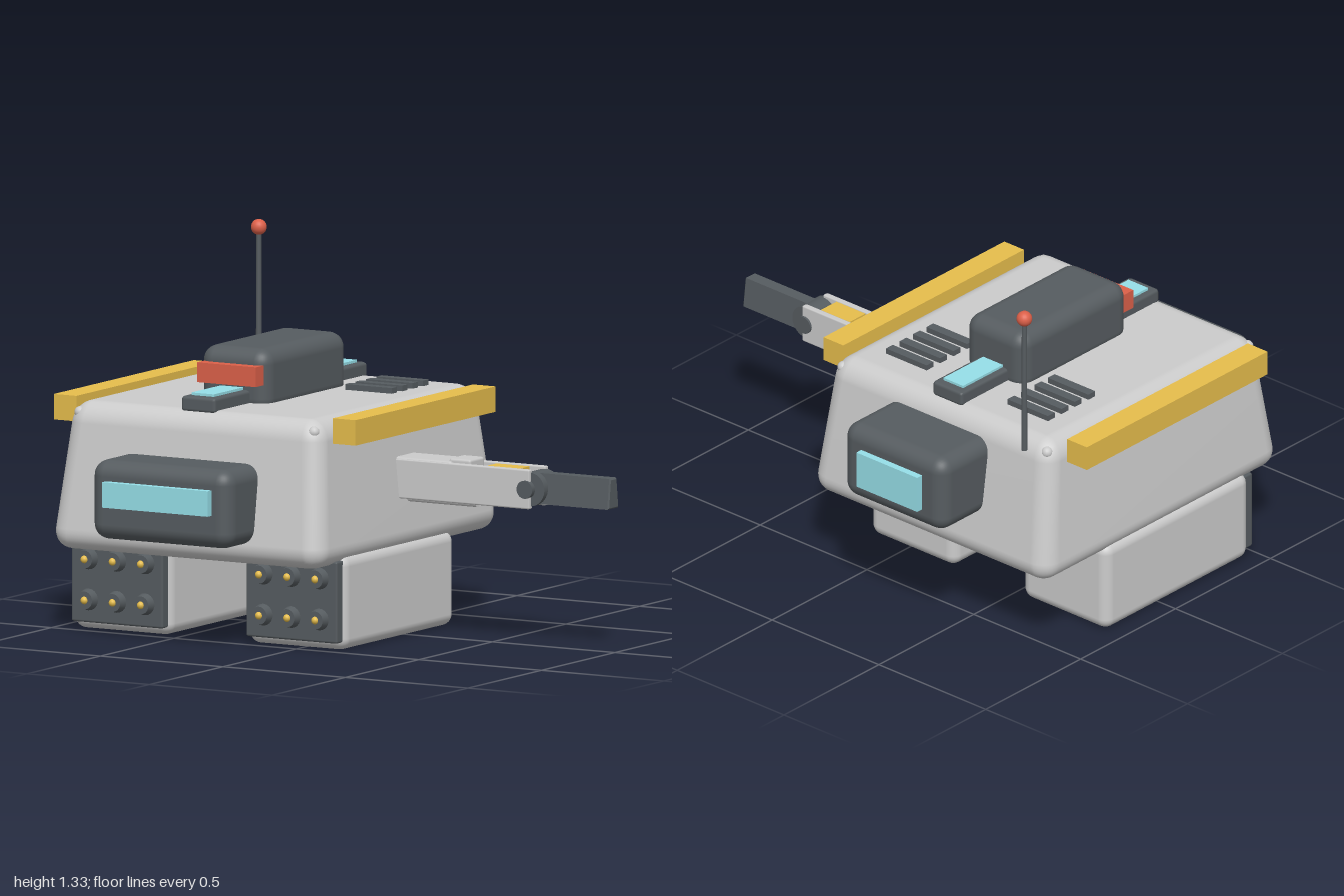
import * as THREE from 'three';
import { RoundedBoxGeometry } from 'three/addons/geometries/RoundedBoxGeometry.js';
import { mergeVertices } from 'three/addons/utils/BufferGeometryUtils.js';

const paint = (color) => new THREE.MeshStandardMaterial({ color });
const grey = paint(0xcccccc), dark = paint(0x565c60), glass = paint(0x96dfe8);
const red = paint(0xdc6049), yellow = paint(0xe6bd4c);

export function createModel() {
  const model = new THREE.Group();
  const cx = -0.382; // middle of the hull; the arm reaches out to +x

  const add = (name, geometry, material, x = 0, y = 0, z = 0, parent = model) => {
    const mesh = new THREE.Mesh(geometry, material);
    mesh.name = name;
    mesh.position.set(x, y, z);
    parent.add(mesh);
    return mesh;
  };
  const group = (name) => {
    const g = new THREE.Group();
    g.name = name;
    model.add(g);
    return g;
  };
  // Box given by its ranges on each axis; r > 0 rounds the edges
  const box = (name, material, [x0, x1], [y0, y1], [z0, z1], r = 0, parent = model, seg = 4) => {
    const s = [x1 - x0, y1 - y0, z1 - z0];
    const geo = r ? new RoundedBoxGeometry(...s, seg, r) : new THREE.BoxGeometry(...s);
    return add(name, geo, material, (x0 + x1) / 2, (y0 + y1) / 2, (z0 + z1) / 2, parent);
  };

  // Hull: rounded box narrowing towards the top
  const h = 0.52;
  let hull = new RoundedBoxGeometry(1.12, h, 1.26, 5, 0.075);
  hull.deleteAttribute('uv');
  hull.deleteAttribute('normal');
  hull = mergeVertices(hull, 1e-4);
  const p = hull.attributes.position;
  for (let i = 0; i < p.count; i++) {
    const t = p.getY(i) / h + 0.5;
    p.setX(i, p.getX(i) * (1 - 0.09 * t));
    p.setZ(i, p.getZ(i) * (1 - 0.12 * t));
  }
  hull.computeVertexNormals();
  add('hull', hull, grey, cx, 0.3 + h / 2, 0.01);

  // Front and rear cabins with windows
  box('frontCabin', dark, [-0.67, -0.10], [0.375, 0.655], [0.4, 0.795], 0.055);
  box('frontWindow', glass, [-0.6, -0.17], [0.495, 0.585], [0.77, 0.822]);
  box('rearCabin', dark, [-0.62, -0.145], [0.47, 0.755], [-0.8, -0.4], 0.055);
  box('rearWindow', glass, [-0.525, -0.24], [0.545, 0.68], [-0.826, -0.77]);

  // Roof turret, lamp and light rail
  box('turret', dark, [-0.525, -0.245], [0.78, 1.01], [-0.27, 0.295], 0.055);
  box('turretLamp', red, [-0.505, -0.265], [0.885, 0.955], [0.27, 0.335]);
  box('roofRail', dark, [-0.455, -0.315], [0.81, 0.865], [-0.512, 0.53], 0.012, model, 1);
  box('roofLight', glass, [-0.432, -0.34], [0.84, 0.874], [-0.48, 0.495]);

  for (const side of [-1, 1]) {
    // Roof vents
    for (let i = 0; i < 4; i++) {
      const x = cx + side * 0.284, z = -0.385 + i * 0.071;
      box('vent', dark, [x - 0.095, x + 0.095], [0.81, 0.84], [z - 0.018, z + 0.018]);
    }
    // Yellow side bumpers
    const bx = cx + side * 0.57;
    box('sideBumper', yellow, [bx - 0.046, bx + 0.046], [0.735, 0.825], [-0.465, 0.487]);

    // Corner bolts
    for (const z of [-0.518, 0.538]) {
      add('bolt', new THREE.SphereGeometry(0.021, 14, 10), grey, cx + side * 0.477, 0.778, z);
    }

    // Rocket pods below the hull
    const pod = group('rocketPod');
    const px = cx + side * 0.356;
    box('podHousing', grey, [px - 0.2, px + 0.2], [0, 0.335], [-0.295, 0.465], 0.04, pod);
    box('podFace', dark, [px - 0.187, px + 0.187], [0.028, 0.318], [0.44, 0.492], 0.008, pod, 1);
    for (let i = 0; i < 6; i++) {
      const x = px + ((i % 3) - 1) * 0.115, y = i < 3 ? 0.255 : 0.11;
      const tube = new THREE.CylinderGeometry(0.032, 0.041, 0.04, 18).rotateX(Math.PI / 2);
      add('launchTube', tube, dark, x, y, 0.502, pod);
      const tip = new THREE.SphereGeometry(0.014, 12, 8);
      add('rocketTip', tip, yellow, x, y, 0.52, pod);
    }
  }

  // Antenna
  add('antennaRod', new THREE.CylinderGeometry(0.009, 0.011, 0.52, 12), dark, -0.79, 1.04, -0.56);
  add('antennaBall', new THREE.SphereGeometry(0.028, 20, 14), red, -0.79, 1.3, -0.56);

  // Arm on the left side: sleeve, twin plates, inner core, hinge and forearm
  const arm = group('arm');
  box('armSleeve', grey, [0.05, 0.37], [0.5, 0.636], [-0.066, 0.066], 0.012, arm, 1);
  for (const side of [-1, 1]) {
    const z = side * 0.055;
    box('armPlate', grey, [0.05, 0.69], [0.49, 0.63], [z - 0.012, z + 0.012], 0.006, arm, 1);
  }
  box('armCore', dark, [0.2, 0.69], [0.515, 0.608], [-0.045, 0.045], 0, arm);
  box('armCover', grey, [0.35, 0.44], [0.58, 0.645], [-0.05, 0.05], 0.01, arm, 1);
  box('armMarking', yellow, [0.49, 0.625], [0.58, 0.625], [-0.045, 0.045], 0, arm);
  const piston = new THREE.CylinderGeometry(0.015, 0.015, 0.38, 14).rotateZ(Math.PI / 2);
  add('armPiston', piston, grey, 0.25, 0.487, 0, arm);
  const hinge = new THREE.CylinderGeometry(0.06, 0.06, 0.11, 24).rotateX(Math.PI / 2);
  add('elbow', hinge, dark, 0.685, 0.56, 0, arm);
  const pin = new THREE.CylinderGeometry(0.032, 0.032, 0.15, 20).rotateX(Math.PI / 2);
  add('elbowPin', pin, dark, 0.675, 0.56, 0, arm);

  // Forearm: trapezoid section, narrower on top
  const section = new THREE.Shape();
  section.moveTo(-0.036, 0.508);
  section.lineTo(0.036, 0.508);
  section.lineTo(0.023, 0.616);
  section.lineTo(-0.023, 0.616);
  section.closePath();
  const forearm = new THREE.ExtrudeGeometry(section, {
    depth: 0.3, bevelThickness: 0.005, bevelSize: 0.005, bevelOffset: -0.005, bevelSegments: 1,
  });
  add('forearm', forearm.rotateY(Math.PI / 2), dark, 0.69, 0, 0, arm);

  return model;
}
